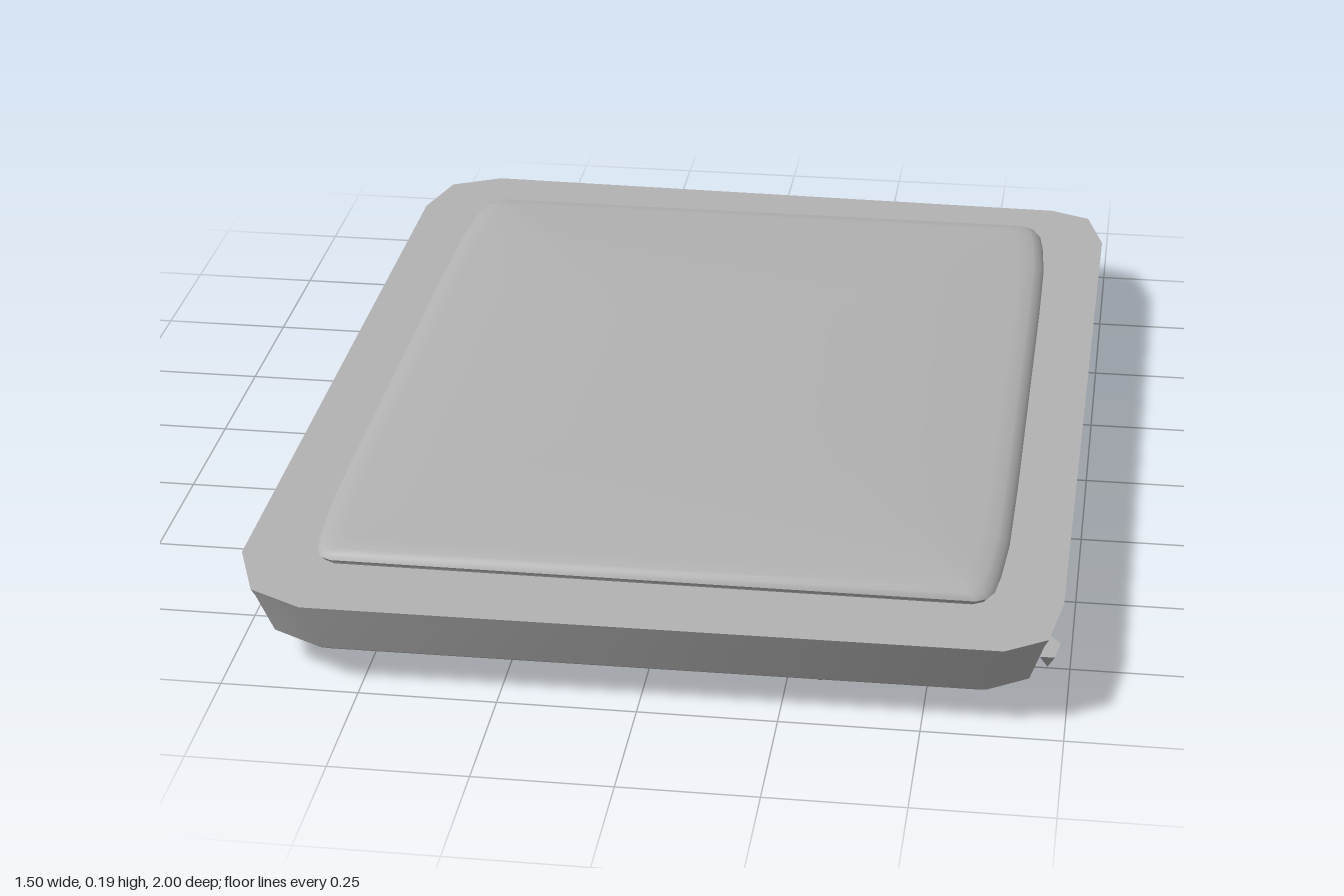
import * as THREE from 'three';
import { toCreasedNormals } from 'three/addons/utils/BufferGeometryUtils.js';

const stone = new THREE.MeshStandardMaterial({ color: 0xb2b2b2 });
stone.name = 'stone grey';

// Stacks copies of an [x, z] outline; each level is [y, scaleX, scaleZ], bottom to top, capped at both ends
function loft(outline, levels, crease) {
  const n = outline.length, pos = [], index = [];
  for (const [y, sx, sz] of levels) for (const [x, z] of outline) pos.push(x * sx, y, z * sz);
  const bottom = pos.length / 3, top = bottom + 1, last = (levels.length - 1) * n;
  pos.push(0, levels[0][0], 0, 0, levels[levels.length - 1][0], 0);
  for (let j = 0; j < n; j++) {
    const k = (j + 1) % n;
    for (let i = 0; i < last; i += n) index.push(i + j, i + n + j, i + k, i + k, i + n + j, i + n + k);
    index.push(bottom, j, k, top, last + k, last + j);
  }
  const geo = new THREE.BufferGeometry();
  geo.setAttribute('position', new THREE.Float32BufferAttribute(pos, 3));
  geo.setIndex(index);
  return toCreasedNormals(geo, crease);
}

export function createModel() {
  const model = new THREE.Group();
  const add = (name, geo, parent = model) => {
    const mesh = new THREE.Mesh(geo, stone);
    mesh.name = name;
    parent.add(mesh);
    return mesh;
  };

  // Slab with uneven cut corners, tapering down to its underside
  const slabOutline = [
    [0.745, -0.81], [0.735, 0.81], [0.715, 0.94], [0.64, 0.99], [-0.6, 0.998], [-0.7, 0.945],
    [-0.75, 0.81], [-0.745, -0.82], [-0.71, -0.95], [-0.61, -1], [0.63, -0.975], [0.71, -0.94],
  ];
  add('slab', loft(slabOutline, [
    [0.06, 0.94, 0.955], [0.068, 0.955, 0.967], [0.15, 0.99, 0.995], [0.165, 1, 1],
  ], 0.6));

  // Raised panel, long sides easing inward towards the small rounded corners
  const quarter = [[0.63, 0.4], [0.628, 0.62], [0.62, 0.74], [0.612, 0.8], [0.6, 0.825], [0.58, 0.836]];
  const flip = (sx, sz) => quarter.map(([x, z]) => [x * sx, z * sz]);
  const panelOutline = [
    ...flip(1, 1), ...flip(-1, 1).reverse(), ...flip(-1, -1), ...flip(1, -1).reverse(),
  ];
  add('raisedPanel', loft(panelOutline, [
    [0.15, 0.985, 0.99], [0.167, 0.99, 0.994], [0.174, 1, 1], [0.184, 0.99, 0.994],
    [0.191, 0.965, 0.98], [0.195, 0.92, 0.94],
  ], 0.7));

  // Blunt studs under the rim: [x, z, tip height, radius]
  const studs = [
    [0.62, 0.84, 0.012, 0.08], [0.45, 0.84, 0.012, 0.07], [0.31, 0.84, 0, 0.08], [0.16, 0.84, 0.004, 0.08],
    [0, 0.84, 0.002, 0.08], [-0.13, 0.84, 0.02, 0.055], [-0.3, 0.84, 0.008, 0.075], [-0.44, 0.84, 0.02, 0.06],
    [-0.61, 0.84, 0.005, 0.07],
    [0.59, -0.84, 0.015, 0.06], [0.37, -0.83, 0.01, 0.075], [0.21, -0.83, 0.018, 0.06], [0.01, -0.83, 0.006, 0.075],
    [-0.19, -0.83, 0.004, 0.08], [-0.37, -0.83, 0.018, 0.06], [-0.55, -0.82, 0.015, 0.065],
  ];
  for (const [z, tip] of [[-0.52, 0.012], [-0.18, 0.006], [0.19, 0.015], [0.54, 0.02]]) {
    studs.push([0.61, z, tip, 0.065], [-0.62, z, tip, 0.065]);
  }
  const studGroup = new THREE.Group();
  studGroup.name = 'studs';
  model.add(studGroup);
  studs.forEach(([x, z, tip, r], i) => {
    const height = 0.066 - tip;
    const geo = new THREE.CylinderGeometry(r, r * 0.12, height, 5, 1);
    const stud = add('stud', toCreasedNormals(geo, 0.3), studGroup);
    stud.position.set(x, tip + height / 2, z);
    stud.rotation.y = i * 1.9;
    stud.scale.z = 0.8;
  });

  // Small chip standing out of the slab's side near one front corner
  const chip = add('sideChip', toCreasedNormals(new THREE.ConeGeometry(0.045, 0.04, 5), 0.3));
  chip.position.set(0.712, 0.08, 0.85);
  chip.rotation.x = Math.PI;
  chip.scale.x = 0.5;
  return model;
}
